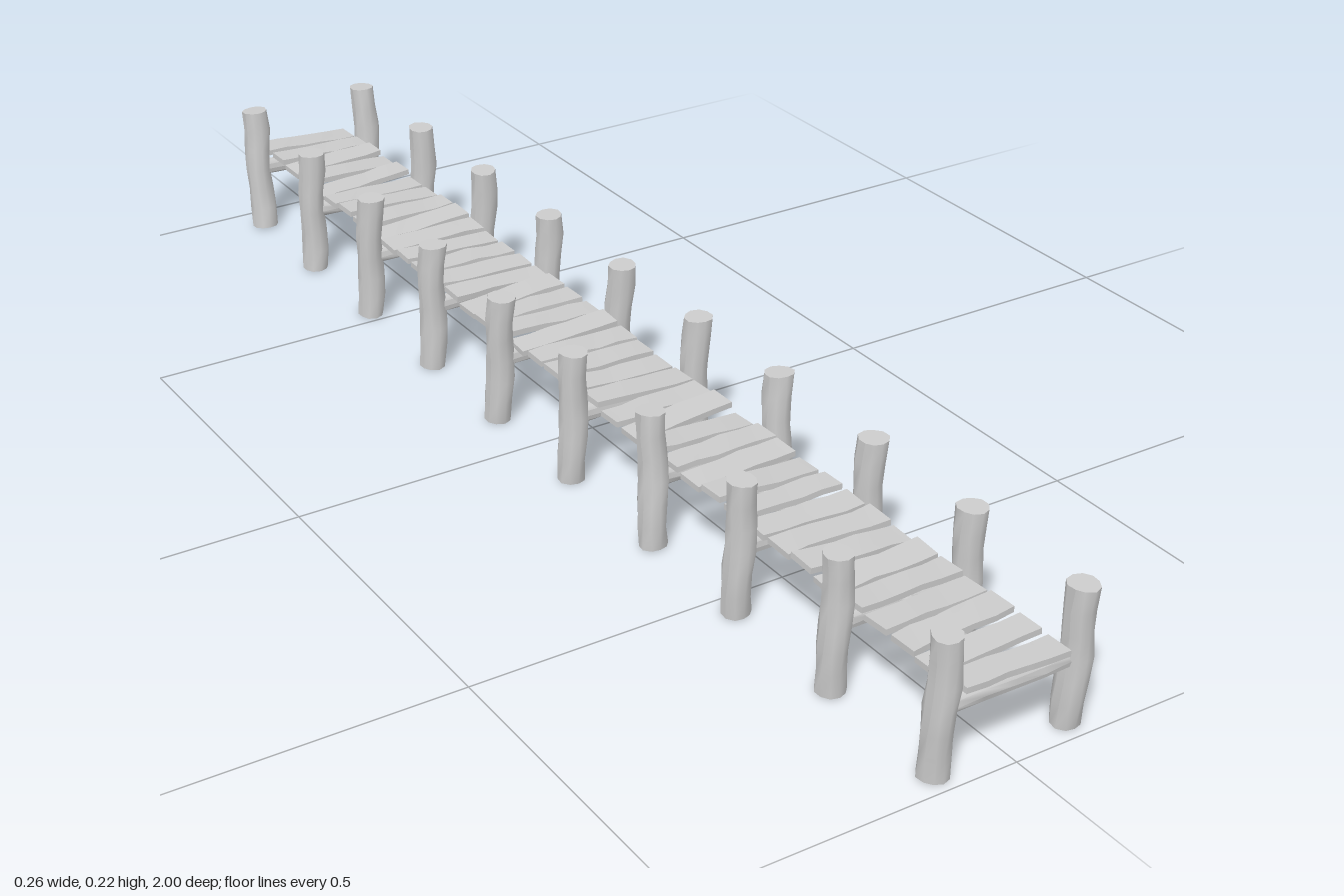
import * as THREE from 'three';
import { toCreasedNormals } from 'three/addons/utils/BufferGeometryUtils.js';

const material = new THREE.MeshStandardMaterial({ color: 0xcccccc });

// Small seeded generator: returns values in -1..1
function seeded(seed) {
  return () => {
    seed = (seed * 16807) % 2147483647;
    return (seed / 2147483647) * 2 - 1;
  };
}

// Rough log along y: a cylinder whose rings wander and swell a little
function logGeometry(radius, length, rings, wobble, phase) {
  const geo = new THREE.CylinderGeometry(radius, radius, length, 10, rings);
  const p = geo.attributes.position;
  for (let i = 0; i < p.count; i++) {
    const x = p.getX(i), y = p.getY(i), z = p.getZ(i);
    const t = (y / length) * 9 + phase;
    const a = Math.atan2(z, x);
    const swell = 1 + 0.05 * Math.sin(2 * a + t) + 0.04 * Math.sin(3 * a - t * 1.7);
    p.setXYZ(i, x * swell + wobble * Math.sin(t), y, z * swell + wobble * Math.cos(t * 0.8));
  }
  return toCreasedNormals(geo, 0.9);
}

// Rough plank: a box with uneven long edges and a slightly worn surface
function plankGeometry(width, thickness, depth, rand) {
  const geo = new THREE.BoxGeometry(width, thickness, depth, 5, 1, 1);
  const p = geo.attributes.position;
  const front = [], back = [], lift = [];
  for (let i = 0; i < 6; i++) {
    front.push(rand() * 0.0025);
    back.push(rand() * 0.0025);
    lift.push(rand() * 0.0012);
  }
  for (let i = 0; i < p.count; i++) {
    const k = Math.round((p.getX(i) / width + 0.5) * 5);
    const z = p.getZ(i);
    p.setZ(i, z + (z > 0 ? front[k] : back[k]));
    p.setY(i, p.getY(i) + lift[k]);
  }
  return toCreasedNormals(geo, 0.6);
}

function add(parent, name, geometry) {
  const mesh = new THREE.Mesh(geometry, material);
  mesh.name = name;
  parent.add(mesh);
  return mesh;
}

export function createModel() {
  const model = new THREE.Group();
  model.name = 'boardwalk';
  const rand = seeded(4711);

  // Ten post frames: two posts joined by a cross beam, each leaning a little
  const leans = [0.01, 0.006, 0.009, -0.009, 0.006, 0.014, 0.005, 0.011, 0.004, -0.016];
  leans.forEach((lean, i) => {
    const frame = new THREE.Group();
    frame.name = 'postFrame';
    frame.position.z = 0.972 - i * 0.2136;
    for (const side of [-1, 1]) {
      const post = add(frame, side > 0 ? 'leftPost' : 'rightPost',
        logGeometry(0.0215, 0.214, 6, 0.0018, i * 0.6 + side));
      post.position.set(side * 0.107, 0.111, 0);
      post.rotation.x = lean / 0.214;
    }
    const beam = add(frame, 'crossBeam', logGeometry(0.0135, 0.19, 4, 0.001, i));
    beam.rotation.z = Math.PI / 2;
    beam.position.y = 0.11;
    model.add(frame);
  });

  // Central stringer under the deck
  const stringer = add(model, 'stringer', logGeometry(0.0115, 1.93, 24, 0.001, 0));
  stringer.rotation.x = Math.PI / 2;
  stringer.position.set(0, 0.113, 0.01);

  // Deck planks, rocked slightly about the stringer
  const deck = new THREE.Group();
  deck.name = 'deck';
  const count = 38;
  for (let i = 0; i < count; i++) {
    const depth = 0.0435 + rand() * 0.003;
    const plank = add(deck, 'plank', plankGeometry(0.167, 0.009, depth, rand));
    plank.position.set(rand() * 0.002, 0.1295 + rand() * 0.0015, 0.967 - (i * 1.943) / (count - 1));
    plank.rotation.set(rand() * 0.05, rand() * 0.03, rand() * 0.07);
  }
  model.add(deck);

  return model;
}
